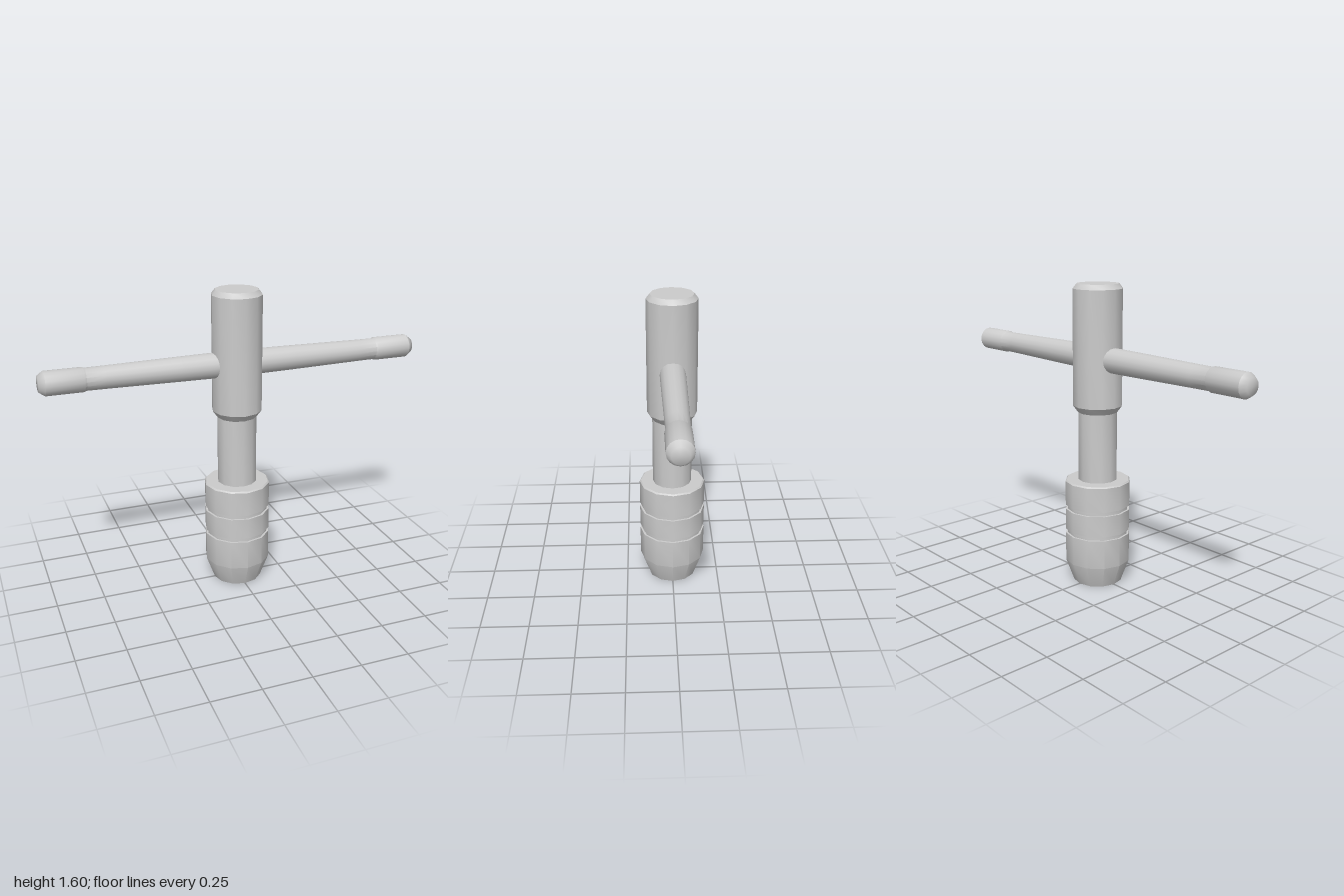
import * as THREE from 'three';
import { toCreasedNormals } from 'three/addons/utils/BufferGeometryUtils.js';

const material = new THREE.MeshStandardMaterial({ color: 0xcccccc });

// Turned part from [radius, height] pairs, listed bottom to top along the outside
function turned(name, profile, sides, creased = true) {
  let geometry = new THREE.LatheGeometry(profile.map(([r, y]) => new THREE.Vector2(r, y)), sides);
  if (creased) geometry = toCreasedNormals(geometry, THREE.MathUtils.degToRad(34));
  const mesh = new THREE.Mesh(geometry, material);
  mesh.name = name;
  return mesh;
}

export function createModel() {
  const model = new THREE.Group();
  model.name = 'tapWrench';
  const sides = 12;

  // Chuck sleeve: recessed mouth, tapered nose and two grip grooves
  const R = 0.174, G = 0.163;
  const sleeve = [[0, 0.03], [0.08, 0.03], [0.08, 0.015], [0.1, 0.015], [0.1, 0], [0.13, 0], [R, 0.12]];
  for (const y of [0.275, 0.41]) sleeve.push([R, y], [G, y], [G, y + 0.022], [R, y + 0.022]);
  sleeve.push([R, 0.563], [0.167, 0.57], [0, 0.57]);
  model.add(turned('chuckSleeve', sleeve, sides));

  // Neck between sleeve and body
  model.add(turned('neck', [[0.103, 0.55], [0.103, 0.95]], sides));

  // Body with chamfered ends
  model.add(turned('body', [
    [0, 0.935], [0.104, 0.935], [0.13, 0.97], [0.13, 1.57], [0.11, 1.595], [0, 1.595],
  ], sides));

  // Sliding cross bar: two mirrored arms with raised, softly rounded ends
  const crossBar = new THREE.Group();
  crossBar.name = 'crossBar';
  crossBar.position.y = 1.216;
  for (const side of [1, -1]) {
    const arm = new THREE.Group();
    arm.name = side > 0 ? 'leftArm' : 'rightArm';
    arm.add(turned('armShaft', [
      [0.065, 0], [0.065, 0.14], [0.063, 0.3], [0.057, 0.68], [0.056, 0.775], [0.061, 0.785], [0.061, 0.97],
    ], 16));
    arm.add(turned('armTip', [[0.061, 0.97], [0.04, 1], [0, 1]], 16, false));
    arm.rotation.z = -side * Math.PI / 2;
    crossBar.add(arm);
  }
  model.add(crossBar);
  return model;
}
